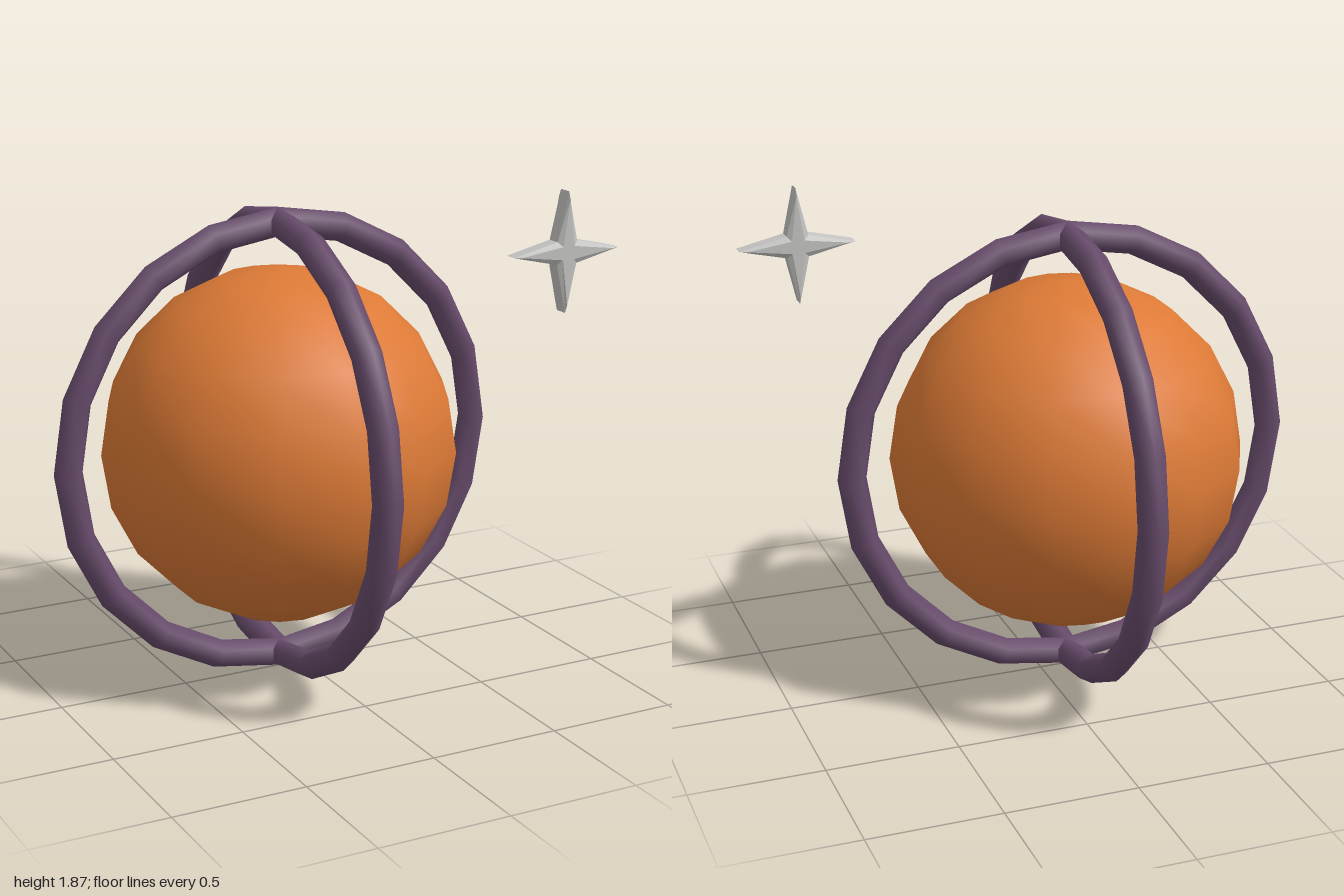
import * as THREE from 'three';

export function createModel() {
  const model = new THREE.Group();
  const mat = (name, color) => {
    const m = new THREE.MeshStandardMaterial({ color });
    m.name = name;
    return m;
  };
  const orange = mat('orange', 0xdd7a36);
  const purple = mat('purple', 0x684c6c);
  const silver = mat('silver', 0xc4c4c2);

  const add = (parent, name, geometry, material) => {
    const mesh = new THREE.Mesh(geometry, material);
    mesh.name = name;
    parent.add(mesh);
    return mesh;
  };

  // Globe with two crossed upright rings
  const globe = new THREE.Group();
  globe.name = 'ringedGlobe';
  globe.position.set(-0.105, 0.897, 0);
  model.add(globe);
  add(globe, 'globe', new THREE.SphereGeometry(0.67, 14, 10), orange).rotation.y = Math.PI / 2;
  const ring = new THREE.TorusGeometry(0.84, 0.055, 6, 20);
  add(globe, 'sideRing', ring, purple);
  add(globe, 'frontRing', ring, purple).rotation.y = Math.PI / 2;

  // Small four-pointed star with bevelled edges
  const points = [];
  for (let i = 0; i < 8; i++) {
    const r = i % 2 ? 0.034 : 0.195;
    const a = (i * Math.PI) / 4;
    points.push(new THREE.Vector2(r * Math.cos(a), r * Math.sin(a)));
  }
  const starGeometry = new THREE.ExtrudeGeometry(new THREE.Shape(points), {
    depth: 0.052, bevelEnabled: true, bevelSegments: 1, bevelSize: 0.02, bevelThickness: 0.012,
  });
  starGeometry.translate(0, 0, -0.026);
  add(model, 'star', starGeometry, silver).position.set(0.777, 1.644, 0.541);

  return model;
}
